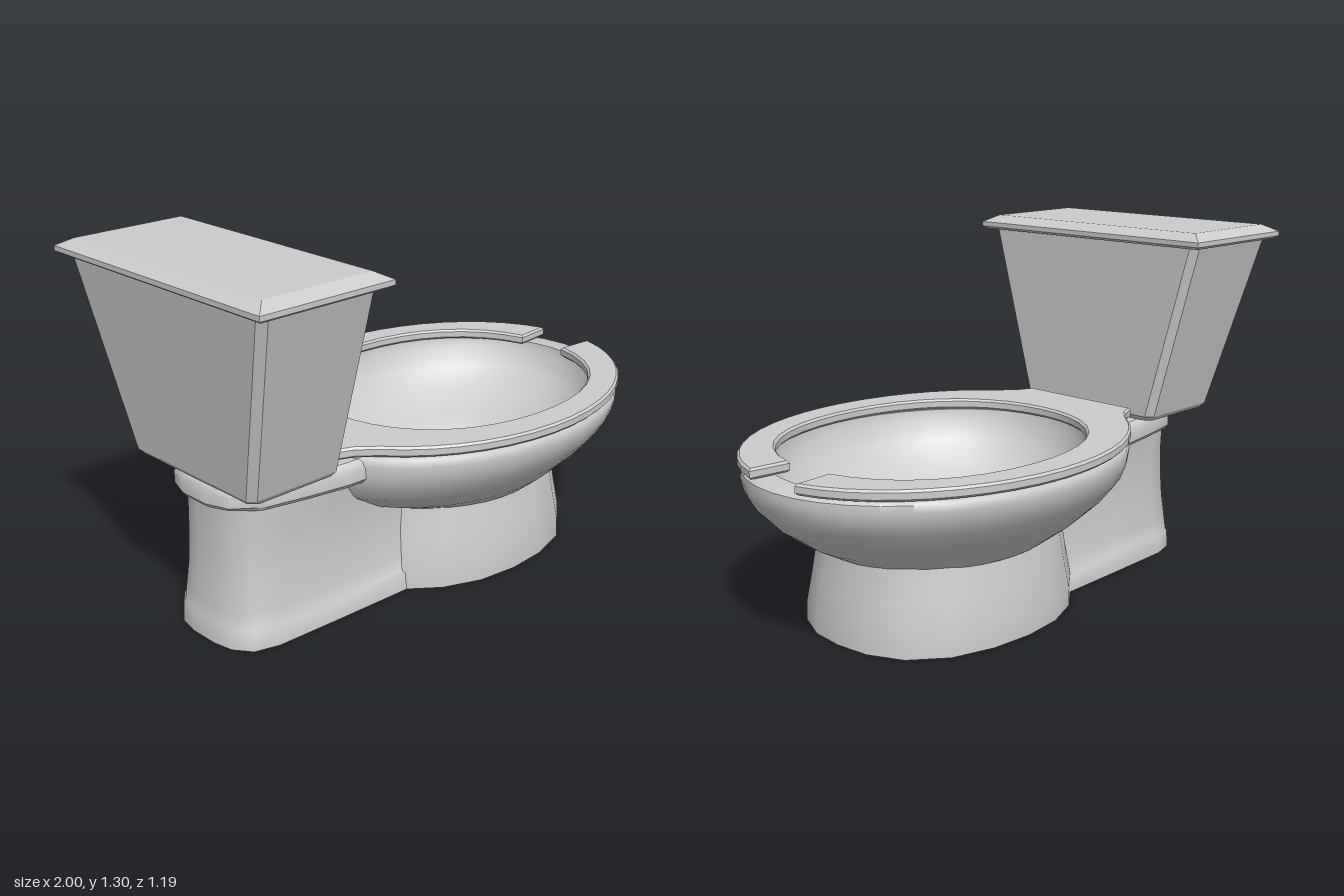
import * as THREE from 'three';
import { toCreasedNormals } from 'three/addons/utils/BufferGeometryUtils.js';

const material = new THREE.MeshStandardMaterial({ color: 0xcccccc });

// Horizontal cross-sections, all listed from +x towards +z
const ellipse = (y, cx, rx, rz, n = 40) =>
  Array.from({ length: n }, (_, i) => {
    const a = (i / n) * Math.PI * 2;
    return [cx + rx * Math.cos(a), y, rz * Math.sin(a)];
  });
const point = (y, x, n) => Array.from({ length: n }, () => [x, y, 0]);
// Mirrors a half outline (front to back, z > 0) to the other side
const mirrored = (y, half) => [
  ...half.map(([x, z]) => [x, y, z]),
  ...half.slice().reverse().map(([x, z]) => [x, y, -z]),
];

// Skins a stack of equal-sized rings, bottom to top
function loft(rings, crease = 0.6) {
  const n = rings[0].length, index = [];
  for (let r = 0; r < rings.length - 1; r++) {
    for (let i = 0; i < n; i++) {
      const a = r * n + i, b = r * n + ((i + 1) % n);
      index.push(a, a + n, b, b, a + n, b + n);
    }
  }
  const g = new THREE.BufferGeometry();
  g.setAttribute('position', new THREE.Float32BufferAttribute(rings.flat(2), 3));
  g.setIndex(index);
  return toCreasedNormals(g, crease);
}

export function createModel() {
  const model = new THREE.Group();
  model.name = 'toilet';
  const add = (name, geometry) => {
    const mesh = new THREE.Mesh(geometry, material);
    mesh.name = name;
    model.add(mesh);
    return mesh;
  };

  // Front pedestal: flared oval column with a blunter front
  const column = (y, rx, rz) =>
    ellipse(y, 0, rx, rz, 20).map(([x, h, z]) => {
      const blunt = x > 0 ? 1 + 0.28 * (x / rx) ** 2 * (z / rz) ** 2 : 1;
      return [0.243 + x * blunt, h, z * blunt];
    });
  add('frontPedestal', loft([
    point(0, 0.243, 20),
    column(0, 0.502, 0.402),
    column(0.07, 0.5, 0.4),
    column(0.18, 0.48, 0.38),
    column(0.3, 0.463, 0.358),
    point(0.29, 0.243, 20),
  ], 0.7));

  // Rear pedestal: low plinth, waist, then the top tucked under the bowl
  const rear = ([y, front, back, wFront, wBack]) => mirrored(y, [
    [front, wFront],
    [-0.45, (wFront + wBack) / 2],
    [back + 0.15, wBack],
    [back + 0.06, wBack * 0.88],
    [back + 0.015, wBack * 0.6],
    [back, wBack * 0.25],
  ]);
  add('rearPedestal', loft([
    point(0, -0.4, 12),
    ...[
      [0, -0.1, -0.87, 0.245, 0.22],
      [0.065, -0.1, -0.867, 0.24, 0.217],
      [0.075, -0.1, -0.863, 0.23, 0.212],
      [0.13, -0.1, -0.857, 0.22, 0.207],
      [0.22, -0.1, -0.845, 0.205, 0.2],
      [0.3, -0.14, -0.84, 0.2, 0.196],
      [0.42, -0.3, -0.836, 0.205, 0.195],
      [0.51, -0.39, -0.835, 0.225, 0.2],
    ].map(rear),
  ], 0.8));

  // Deck that carries the tank, widening towards the bowl
  const deck = (y, s) => mirrored(y, [
    [-0.33, 0.28 - s], [-0.45, 0.276 - s], [-0.6, 0.25 - s], [-0.76, 0.215 - s],
    [-0.85 + s, 0.145 - s], [-0.88 + s, 0.06],
  ]);
  add('deck', loft([
    point(0.5, -0.6, 12), deck(0.5, 0.012), deck(0.515, 0), deck(0.555, 0),
    deck(0.575, 0.008), deck(0.585, 0.022), point(0.585, -0.6, 12),
  ]));

  // Bowl: outer wall, over the rim, and down the inside
  add('bowl', loft([
    ellipse(0.26, 0.28, 0.37, 0.32),
    ellipse(0.285, 0.27, 0.435, 0.37),
    ellipse(0.34, 0.248, 0.555, 0.435),
    ellipse(0.41, 0.242, 0.658, 0.505),
    ellipse(0.47, 0.247, 0.71, 0.555),
    ellipse(0.52, 0.257, 0.729, 0.583),
    ellipse(0.56, 0.261, 0.734, 0.593),
    ellipse(0.585, 0.262, 0.731, 0.59),
    ellipse(0.597, 0.262, 0.717, 0.577),
    ellipse(0.597, 0.31, 0.595, 0.495),
    ellipse(0.56, 0.31, 0.59, 0.49),
    ellipse(0.49, 0.3, 0.545, 0.45),
    ellipse(0.42, 0.28, 0.47, 0.38),
    ellipse(0.36, 0.26, 0.37, 0.28),
    ellipse(0.325, 0.245, 0.245, 0.165),
    ellipse(0.305, 0.245, 0.23, 0.15),
    point(0.305, 0.245, 40),
  ], 0.75));

  // Open-front seat, drawn flat and laid down with small bevels
  const bevel = 0.008, side = [], hole = [];
  for (let i = 0; i <= 18; i++) {
    const a = 0.205 + (i / 18) * (2.57 - 0.205);
    side.push([0.262 + (0.742 - bevel) * Math.cos(a), (0.596 - bevel) * Math.sin(a)]);
    const b = 0.22 + (i / 18) * (Math.PI - 0.22);
    const square = 1 + 0.1 * (Math.sin(b) * Math.cos(b)) ** 2;
    hole.push([
      0.295 + (0.555 + bevel) * Math.cos(b) * square,
      (0.48 + bevel) * Math.sin(b) * square,
    ]);
  }
  side.push([-0.42, 0.262], [-0.475, 0.24]);
  const flip = (pts) => pts.map(([x, z]) => [x, -z]);
  const outline = [
    ...side, ...flip(side).reverse(),
    ...flip(hole), ...hole.slice(0, -1).reverse(),
  ];
  const seatShape = new THREE.Shape(outline.map(([x, z]) => new THREE.Vector2(x, z)));
  const seatGeometry = new THREE.ExtrudeGeometry(seatShape, {
    depth: 0.022, bevelEnabled: true, bevelThickness: 0.008, bevelSize: bevel, bevelSegments: 1,
  });
  seatGeometry.rotateX(-Math.PI / 2).translate(0, 0.607, 0);
  add('seat', toCreasedNormals(seatGeometry, 0.5));

  // Tank: tapered box with chamfered upright edges
  const tank = (y, x0, x1, w, c = 0.025) => mirrored(y, [
    [x1, w - c], [x1 - c, w], [x0 + c, w], [x0, w - c],
  ]);
  add('tank', loft([
    point(0.585, -0.7, 8),
    tank(0.585, -0.875, -0.53, 0.297),
    tank(0.602, -0.89, -0.517, 0.31),
    tank(1.25, -0.968, -0.517, 0.49),
    point(1.25, -0.74, 8),
  ], 0.3));

  // Tank lid with sloped upper edges
  const lid = (y, s) => mirrored(y, [[-0.485 - s, 0.522 - s], [-1 + s, 0.522 - s]]);
  add('tankLid', loft([
    point(1.245, -0.744, 4), lid(1.245, 0.015), lid(1.255, 0), lid(1.272, 0),
    lid(1.298, 0.048), point(1.298, -0.744, 4),
  ], 0.3));

  return model;
}
